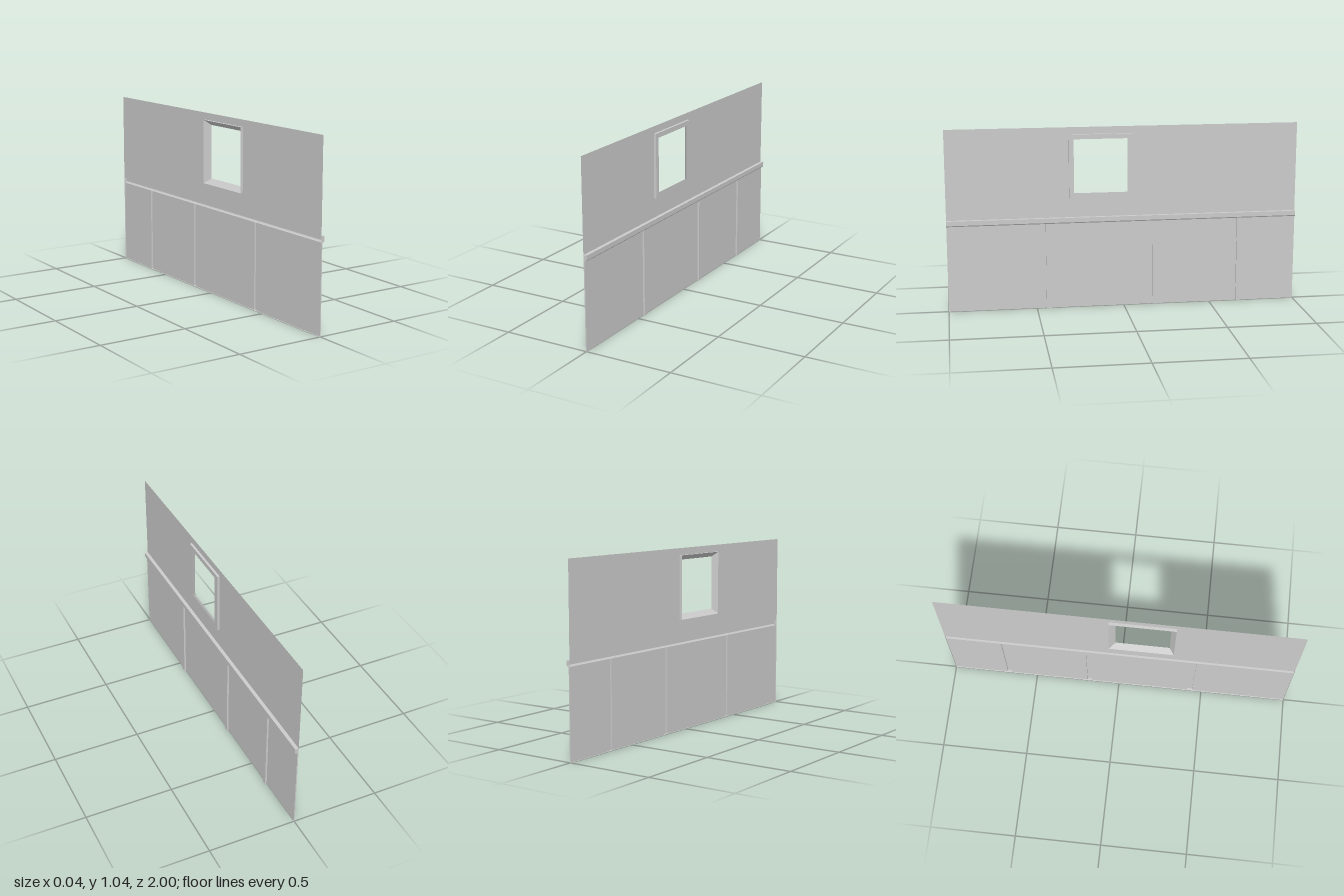
import * as THREE from 'three';

const material = new THREE.MeshStandardMaterial({ color: 0xcccccc, flatShading: true, side: THREE.DoubleSide });

// Skin a list of sections (each a list of [x, y, z]) with quads
function loft(sections, closed = false) {
  const pos = [];
  for (let s = 0; s < sections.length - 1; s++) {
    const a = sections[s], b = sections[s + 1];
    const n = closed ? a.length : a.length - 1;
    for (let i = 0; i < n; i++) {
      const j = (i + 1) % a.length;
      pos.push(...a[i], ...b[i], ...b[j], ...a[i], ...b[j], ...a[j]);
    }
  }
  const g = new THREE.BufferGeometry();
  g.setAttribute('position', new THREE.Float32BufferAttribute(pos, 3));
  g.computeVertexNormals();
  return g;
}

const flat = (points) => new THREE.ShapeGeometry(new THREE.Shape(points.map(([x, y]) => new THREE.Vector2(x, y))));

export function createModel() {
  const group = new THREE.Group();
  const add = (name, geometry) => {
    const mesh = new THREE.Mesh(geometry, material);
    mesh.name = name;
    group.add(mesh);
    return mesh;
  };

  const wallX = -0.003, panelX = 0.003, battenX = 0.013;
  const railBottom = 0.495, railTop = 0.527, wallTop = 1.04;
  const outer = { z0: -0.055, z1: 0.31, y0: 0.637, y1: 1.0 };
  const inner = { z0: -0.02, z1: 0.283, y0: 0.667, y1: 0.973 };
  const rect = ({ z0, z1, y0, y1 }, x) => [[x, y0, z1], [x, y0, z0], [x, y1, z0], [x, y1, z1]];

  // Upper wall sheet with the window opening
  const wall = { z0: -1, z1: 1, y0: railTop, y1: wallTop };
  add('upperWall', loft([rect(wall, wallX), rect(outer, wallX)], true));

  // Window frame: flat face towards +x, splayed reveal behind
  add('windowFrame', loft([
    rect(outer, -0.019), rect(outer, 0.011), rect(inner, 0.011), rect(outer, -0.019),
  ], true));

  // Lower panelling: one folded sheet with three upright battens
  const plan = [[wallX, 1], [panelX, 1]];
  for (const [z, width] of [[0.43, 0.03], [-0.18, 0.024], [-0.67, 0.024]]) {
    const a = z + width / 2, b = z - width / 2;
    plan.push([panelX, a], [battenX, a], [battenX, b], [panelX, b]);
  }
  plan.push([panelX, -1], [wallX, -1]);
  add('lowerPanelling', loft([0, railBottom].map((y) => plan.map(([x, z]) => [x, y, z]))));
  add('bottomLip', flat(plan).rotateX(Math.PI / 2));

  // Horizontal rail, open at the back, with closed ends
  const profile = [[wallX, railTop], [0.017, railTop], [0.017, 0.501], [0.013, railBottom], [wallX, railBottom]];
  add('rail', loft([1, -1].map((z) => profile.map(([x, y]) => [x, y, z]))));
  for (const z of [1, -1]) add('railEnd', flat(profile)).position.z = z;

  return group;
}
